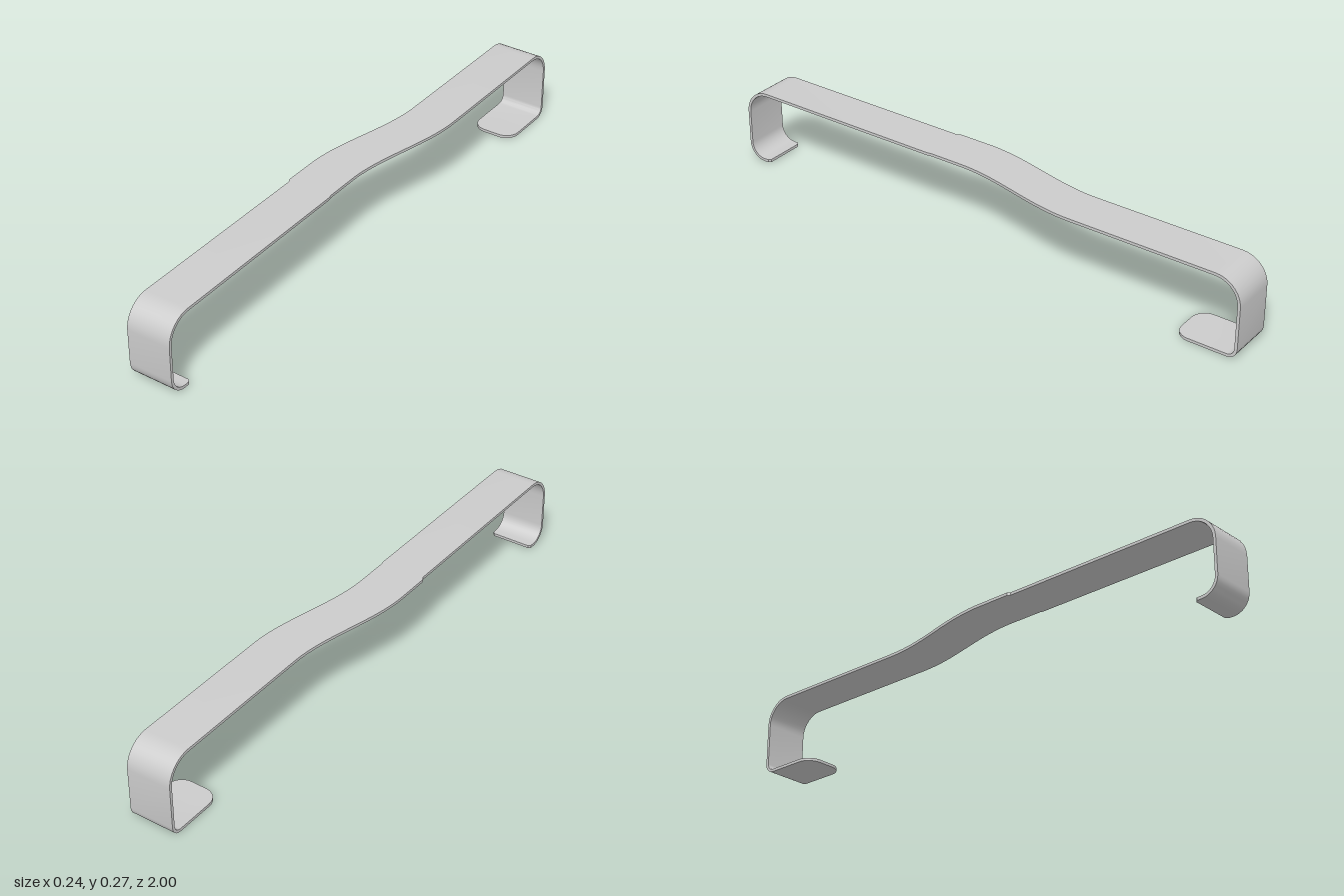
import * as THREE from 'three';
import { toCreasedNormals } from 'three/addons/utils/BufferGeometryUtils.js';

const THICK = 0.01;

// Edges of the strap in x at a given z: an S-shaped offset near the middle.
function edges(z) {
  const s = THREE.MathUtils.smoothstep(z, -0.39, 0.08);
  const frontLeft = z > 0.205 ? -0.113 : -0.12;
  const frontRight = z > 0.205 ? 0.044 : 0.041;
  return [
    THREE.MathUtils.lerp(-0.041, frontLeft, s),
    THREE.MathUtils.lerp(0.118, frontRight, s),
  ];
}

// Outer side profile, from the front lip over the top to the rear foot.
function sideProfile() {
  const path = [];
  const add = (z, y, nz, ny, inset = 0) => path.push({ z, y, nz, ny, inset });
  const arc = (cz, cy, r, from, steps) => {
    for (let i = 0; i <= steps; i++) {
      const a = ((from + (90 * i) / steps) * Math.PI) / 180;
      add(cz + r * Math.cos(a), cy + r * Math.sin(a), Math.cos(a), Math.sin(a));
    }
  };
  // short front lip with slightly eased corners
  add(0.915, 0.003, 0, -1, 0.008);
  add(0.922, 0.003, 0, -1, 0.001);
  arc(0.94, 0.063, 0.06, -90, 8);
  arc(0.91, 0.183, 0.09, 0, 9);
  // long top run, sampled finely through the S-bend
  add(0.21, 0.273, 0, 1);
  add(0.2, 0.273, 0, 1);
  for (let i = 0; i <= 24; i++) add(0.09 - i * 0.02, 0.273, 0, 1);
  arc(-0.91, 0.183, 0.09, 90, 9);
  arc(-0.965, 0.035, 0.035, 180, 5);
  // rear foot with a rounded end
  const r = 0.05;
  for (let i = 0; i <= 8; i++) {
    const a = (i / 8) * Math.PI / 2;
    add(-0.83 + r * Math.sin(a), 0, 0, -1, r * (1 - Math.cos(a)));
  }
  return path;
}

// Sweeps a flat rectangular section along the profile and closes both ends.
function strapGeometry() {
  const positions = [];
  const indices = [];
  const path = sideProfile();
  path.forEach(({ z, y, nz, ny, inset }) => {
    const [left, right] = edges(z);
    const x0 = left + inset, x1 = right - inset;
    const zi = z - nz * THICK, yi = y - ny * THICK;
    positions.push(x0, y, z, x1, y, z, x1, yi, zi, x0, yi, zi);
  });
  for (let i = 0; i < path.length - 1; i++) {
    for (let k = 0; k < 4; k++) {
      const a = i * 4 + k, b = i * 4 + ((k + 1) % 4);
      indices.push(a, b, b + 4, a, b + 4, a + 4);
    }
  }
  const e = (path.length - 1) * 4;
  indices.push(0, 3, 2, 0, 2, 1, e, e + 1, e + 2, e, e + 2, e + 3);
  const geometry = new THREE.BufferGeometry();
  geometry.setAttribute('position', new THREE.Float32BufferAttribute(positions, 3));
  geometry.setIndex(indices);
  return toCreasedNormals(geometry, 0.5);
}

export function createModel() {
  const group = new THREE.Group();
  group.name = 'bentStrapBracket';
  const strap = new THREE.Mesh(
    strapGeometry(),
    new THREE.MeshStandardMaterial({ color: 0xcccccc })
  );
  strap.name = 'strap';
  group.add(strap);
  return group;
}
